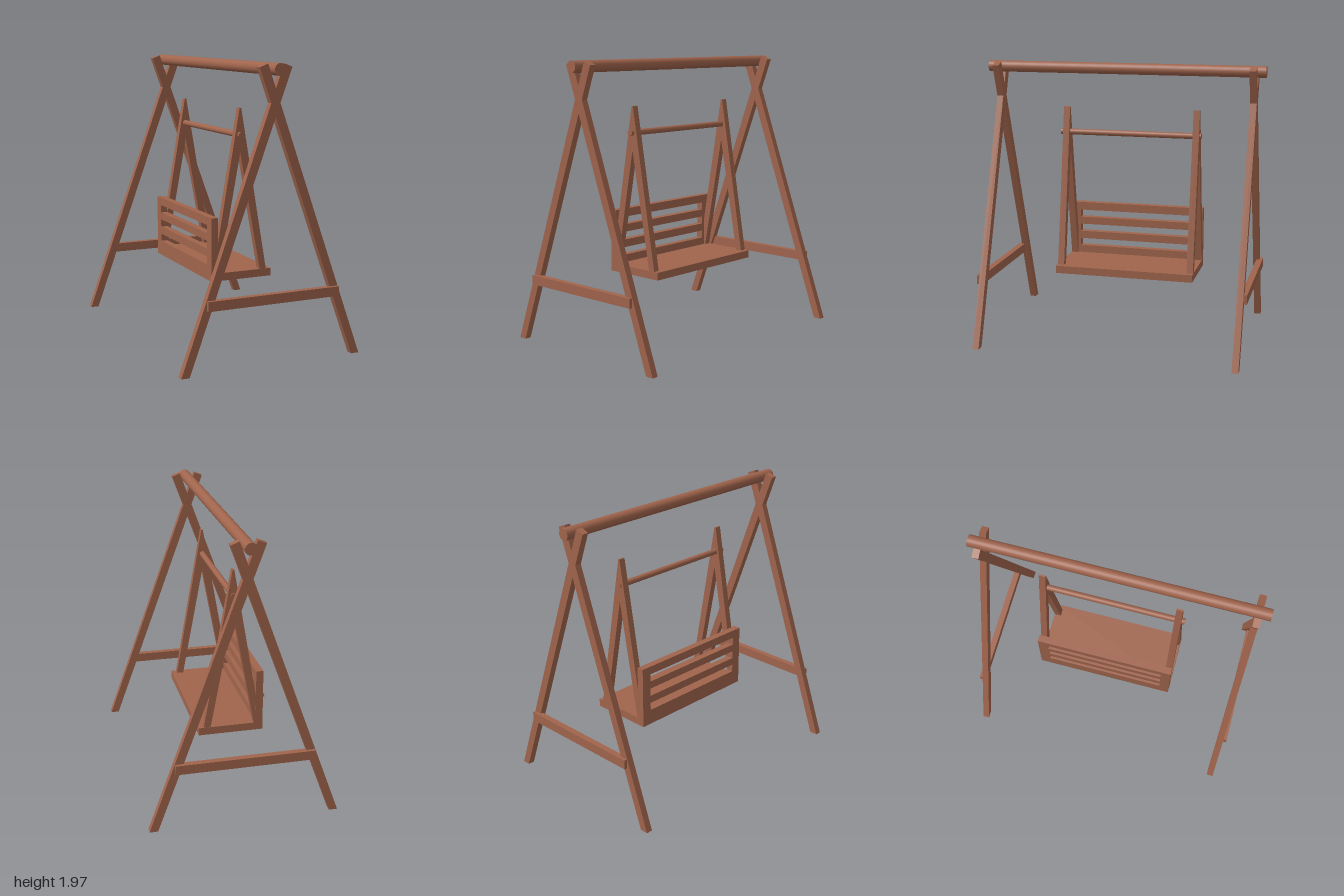
import * as THREE from 'three';

export function createModel() {
  const model = new THREE.Group();
  model.name = 'gardenSwing';
  const wood = new THREE.MeshStandardMaterial({ color: 0xa0644c });
  wood.name = 'brown wood';

  const add = (parent, name, geometry) => {
    const mesh = new THREE.Mesh(geometry, wood);
    mesh.name = name;
    parent.add(mesh);
    return mesh;
  };
  const outline = (points) => new THREE.Shape(points.map(([x, y]) => new THREE.Vector2(x, y)));
  // Flat outline in x/y given thickness from z0 to z1
  const plank = (shape, z0, z1) =>
    new THREE.ExtrudeGeometry(shape, { depth: z1 - z0, bevelEnabled: false }).translate(0, 0, z0);
  // Box given by its minimum and maximum corners
  const box = (x0, x1, y0, y1, z0, z1) =>
    new THREE.BoxGeometry(x1 - x0, y1 - y0, z1 - z0)
      .translate((x0 + x1) / 2, (y0 + y1) / 2, (z0 + z1) / 2);
  // Round bar running along z
  const bar = (radius, x, y, z0, z1) =>
    new THREE.CylinderGeometry(radius, radius, z1 - z0, 32)
      .rotateX(Math.PI / 2).translate(x, y, (z0 + z1) / 2);

  // Top beam
  add(model, 'topBeam', bar(0.04, 0, 1.932, -1, 1));

  // Crossed A-frames at both ends, with a cross brace on the outer face
  const leg = [[-0.655, 0], [-0.597, 0], [0.115, 1.945], [0.057, 1.967]];
  for (const end of [1, -1]) {
    const frame = new THREE.Group();
    frame.name = end > 0 ? 'frontFrame' : 'backFrame';
    const z = 0.918 * end;
    for (const side of [1, -1]) {
      const shape = outline(leg.map(([x, y]) => [x * side, y]));
      add(frame, side > 0 ? 'rightLeg' : 'leftLeg', plank(shape, z - 0.023, z + 0.023));
    }
    const braceZ = 0.942 * end;
    add(frame, 'crossBrace', box(-0.475, 0.475, 0.423, 0.488, braceZ - 0.022, braceZ + 0.022));
    model.add(frame);
  }

  // Hanging bench
  const bench = new THREE.Group();
  bench.name = 'bench';
  model.add(bench);
  const zBack = -0.547, zFront = 0.449;
  add(bench, 'seat', box(-0.172, 0.232, 0.472, 0.526, zBack, zFront));

  // Slatted backrest: a panel with three long openings
  const panel = outline([[zBack, 0.472], [zFront, 0.472], [zFront, 0.913], [zBack, 0.913]]);
  for (const [y0, y1] of [[0.58, 0.635], [0.69, 0.746], [0.8, 0.855]]) {
    panel.holes.push(outline([[-0.475, y0], [-0.475, y1], [0.378, y1], [0.378, y0]]));
  }
  const backrest = plank(panel, 0, 0.05).rotateY(-Math.PI / 2).translate(-0.172, 0, 0);
  add(bench, 'backrest', backrest);

  // Inverted V hangers at the two ends of the seat
  const hanger = outline([
    [-0.208, 0.526], [-0.16, 0.526], [-0.006, 1.35], [0.148, 0.526], [0.196, 0.526],
    [0, 1.653], [-0.012, 1.653],
  ]);
  add(bench, 'frontHanger', plank(hanger, 0.4, 0.446));
  add(bench, 'backHanger', plank(hanger, -0.545, -0.499));

  // Rod joining the hangers
  add(bench, 'hangerRod', bar(0.021, -0.008, 1.471, -0.555, 0.469));

  return model;
}
